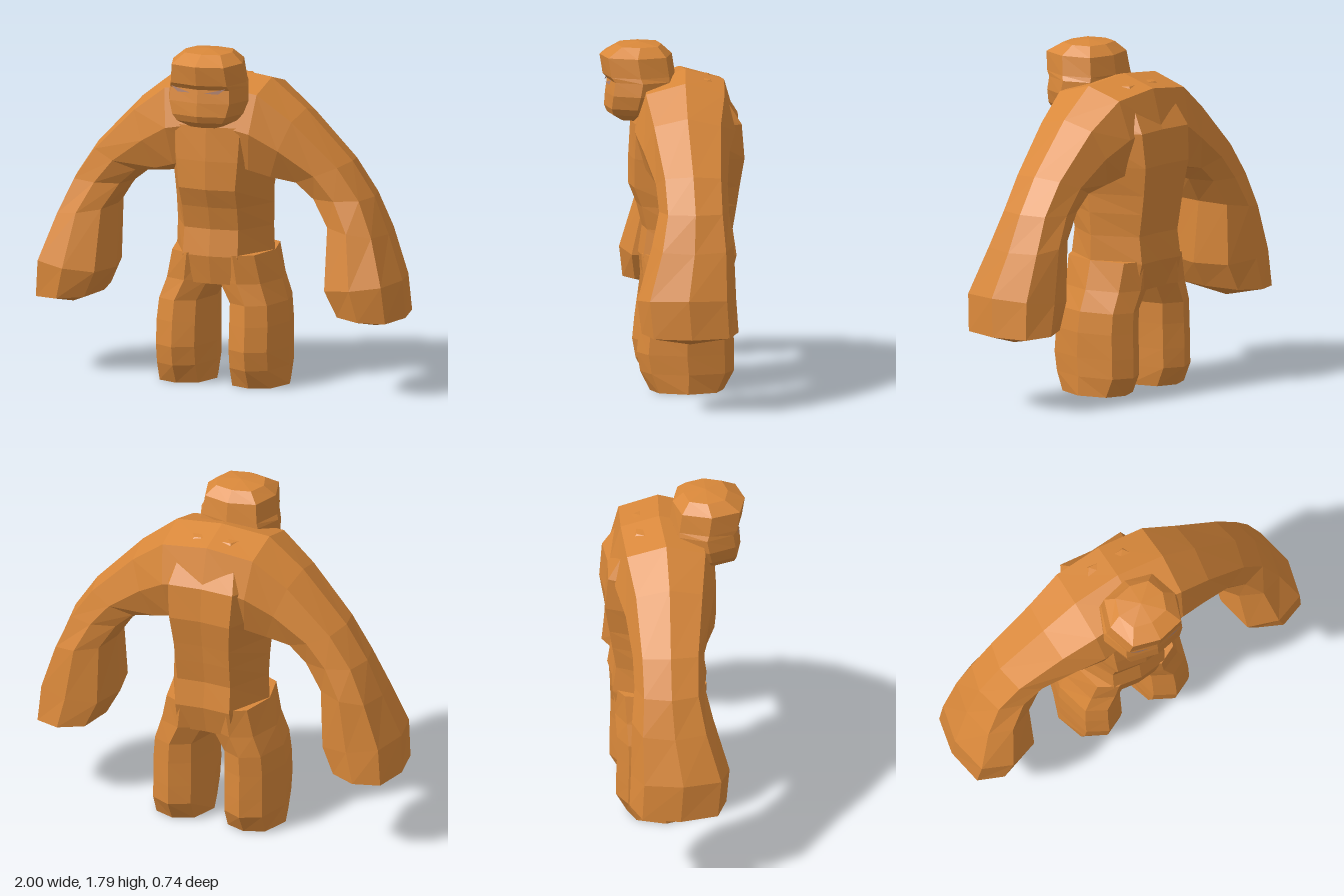
import * as THREE from 'three';

const skin = new THREE.MeshStandardMaterial({ color: 0xd9883a, flatShading: true });
const eyeMat = new THREE.MeshStandardMaterial({ color: 0xb98a78, flatShading: true, side: THREE.DoubleSide });

// Eight-sided outlines in unit coordinates (across, depth)
const outline = (fx, front, back = front, groove = 1) => [
  [1, 0], [fx, front], [0, 1], [-fx, front], [-1, 0], [-fx, -back], [0, -groove], [fx, -back]];
const LIMB = outline(0.78, 0.78);
const LEG = outline(0.68, 0.78);
const TORSO = outline(0.56, 0.92, 1, 0.95);
const HEAD = outline(0.75, 0.8);

// Ring spanned between points a and b in the xy plane, reaching zf in front and zb behind
function ring(a, b, zf, zb, shape) {
  const zc = (zf + zb) / 2, zr = (zf - zb) / 2;
  return shape.map(([u, v]) => new THREE.Vector3(
    (a[0] + b[0]) / 2 + u * (a[0] - b[0]) / 2,
    (a[1] + b[1]) / 2 + u * (a[1] - b[1]) / 2,
    zc + v * zr));
}

// Joins rings into a closed skin; end caps fan out from a centre that may bulge by an offset in y
function loft(name, rings, startBulge = 0, endBulge = 0, material = skin) {
  const tris = [];
  const n = rings[0].length;
  const centre = (r, dy) => r.reduce((s, p) => s.add(p), new THREE.Vector3())
    .divideScalar(n).add(new THREE.Vector3(0, dy, 0));
  const first = rings[0], last = rings[rings.length - 1];
  const c0 = centre(first, startBulge), c1 = centre(last, endBulge);
  for (let i = 0; i < n; i++) {
    const j = (i + 1) % n;
    for (let k = 0; k < rings.length - 1; k++) {
      const p = rings[k], q = rings[k + 1];
      tris.push([p[i], p[j], q[j]], [p[i], q[j], q[i]]);
    }
    tris.push([c0, first[j], first[i]], [c1, last[i], last[j]]);
  }
  // turn the faces outward whichever way the rings run
  const volume = tris.reduce((s, [a, b, c]) => s + a.dot(b.clone().cross(c)), 0);
  const points = tris.flatMap(([a, b, c]) => (volume > 0 ? [a, b, c] : [a, c, b]));
  const geo = new THREE.BufferGeometry().setFromPoints(points);
  geo.computeVertexNormals();
  const mesh = new THREE.Mesh(geo, material);
  mesh.name = name;
  return mesh;
}

// Level ring from x0 to x1 at height y
const level = (y, x0, x1, zf, zb, shape) => ring([x1, y], [x0, y], zf, zb, shape);

export function createModel() {
  const model = new THREE.Group();
  model.name = 'golem';

  // Torso: height, half width, front, back
  model.add(loft('torso', [
    [0.54, 0.27, 0.14, -0.29], [0.69, 0.27, 0.17, -0.33], [0.83, 0.265, 0.15, -0.31],
    [0.95, 0.27, 0.18, -0.33], [1.05, 0.275, 0.22, -0.345], [1.2, 0.3, 0.22, -0.37],
    [1.38, 0.32, 0.21, -0.355], [1.5, 0.28, 0.17, -0.28], [1.6, 0.18, 0.05, -0.2],
  ].map(([y, w, f, b]) => level(y, -w, w, f, b, TORSO)), 0, 0.02));

  // Shoulders and both arms as one arch: outer point, inner point, front, back
  const arm = [
    [[0.26, 1.61], [0.2, 1.1], 0.2, -0.32],
    [[0.45, 1.46], [0.3, 1.08], 0.16, -0.28],
    [[0.7, 1.2], [0.41, 1.08], 0.11, -0.26],
    [[0.82, 1.02], [0.5, 1.01], 0.1, -0.26],
    [[0.9, 0.83], [0.59, 0.88], 0.14, -0.28],
    [[0.99, 0.6], [0.59, 0.55], 0.22, -0.29],
    [[1, 0.4], [0.66, 0.42], 0.2, -0.3],
  ];
  const flip = ([x, y]) => [-x, y];
  const arch = [
    ...arm.map(([o, i, f, b]) => ring(flip(o), flip(i), f, b, LIMB)).reverse(),
    ring([0, 1.64], [0, 1.15], 0.18, -0.33, LIMB),
    ...arm.map(([o, i, f, b]) => ring(o, i, f, b, LIMB)),
  ];
  model.add(loft('shouldersAndArms', arch, -0.06, -0.06));

  // Legs: height, inner x, outer x, front, back
  const leg = [
    [0, 0.045, 0.355, 0.12, -0.26], [0.1, 0.045, 0.355, 0.17, -0.315],
    [0.2, 0.045, 0.355, 0.188, -0.315], [0.33, 0.045, 0.355, 0.175, -0.31],
    [0.44, 0.045, 0.345, 0.16, -0.31], [0.55, -0.02, 0.31, 0.15, -0.315],
    [0.7, -0.02, 0.272, 0.16, -0.325],
  ];
  for (const [side, s] of [['left', 1], ['right', -1]]) {
    model.add(loft(side + 'Leg', leg.map(([y, a, b, f, k]) => level(y, s * a, s * b, f, k, LEG))));
  }

  // Neck, mostly hidden between head and shoulders
  model.add(loft('neck', [
    level(1.4, -0.17, 0.17, 0.2, -0.12, HEAD), level(1.58, -0.15, 0.15, 0.18, -0.06, HEAD)]));

  // Head: height, half width, front, back; the face dips in below the brow
  model.add(loft('head', [
    [1.388, 0.09, 0.27, 0.12], [1.425, 0.165, 0.33, 0.06], [1.46, 0.195, 0.345, 0.02],
    [1.53, 0.22, 0.34, -0.005], [1.6, 0.215, 0.33, -0.02], [1.625, 0.205, 0.352, -0.02],
    [1.725, 0.19, 0.368, -0.005], [1.775, 0.13, 0.28, 0.05],
  ].map(([y, w, f, b]) => level(y, -w, w, f, b, HEAD)), -0.004, 0.014));

  // Eyes: narrow slits slanting down toward the nose
  for (const [side, s] of [['left', 1], ['right', -1]]) {
    const slit = new THREE.Shape([[0.04, 1.585], [0.11, 1.582], [0.15, 1.612]]
      .map(([x, y]) => new THREE.Vector2(s * x, y)));
    const geo = new THREE.ShapeGeometry(slit);
    const pos = geo.attributes.position;
    for (let i = 0; i < pos.count; i++) pos.setZ(i, 0.347 - Math.abs(pos.getX(i)) * 0.2);
    const eye = new THREE.Mesh(geo, eyeMat);
    eye.name = side + 'Eye';
    model.add(eye);
  }
  return model;
}
